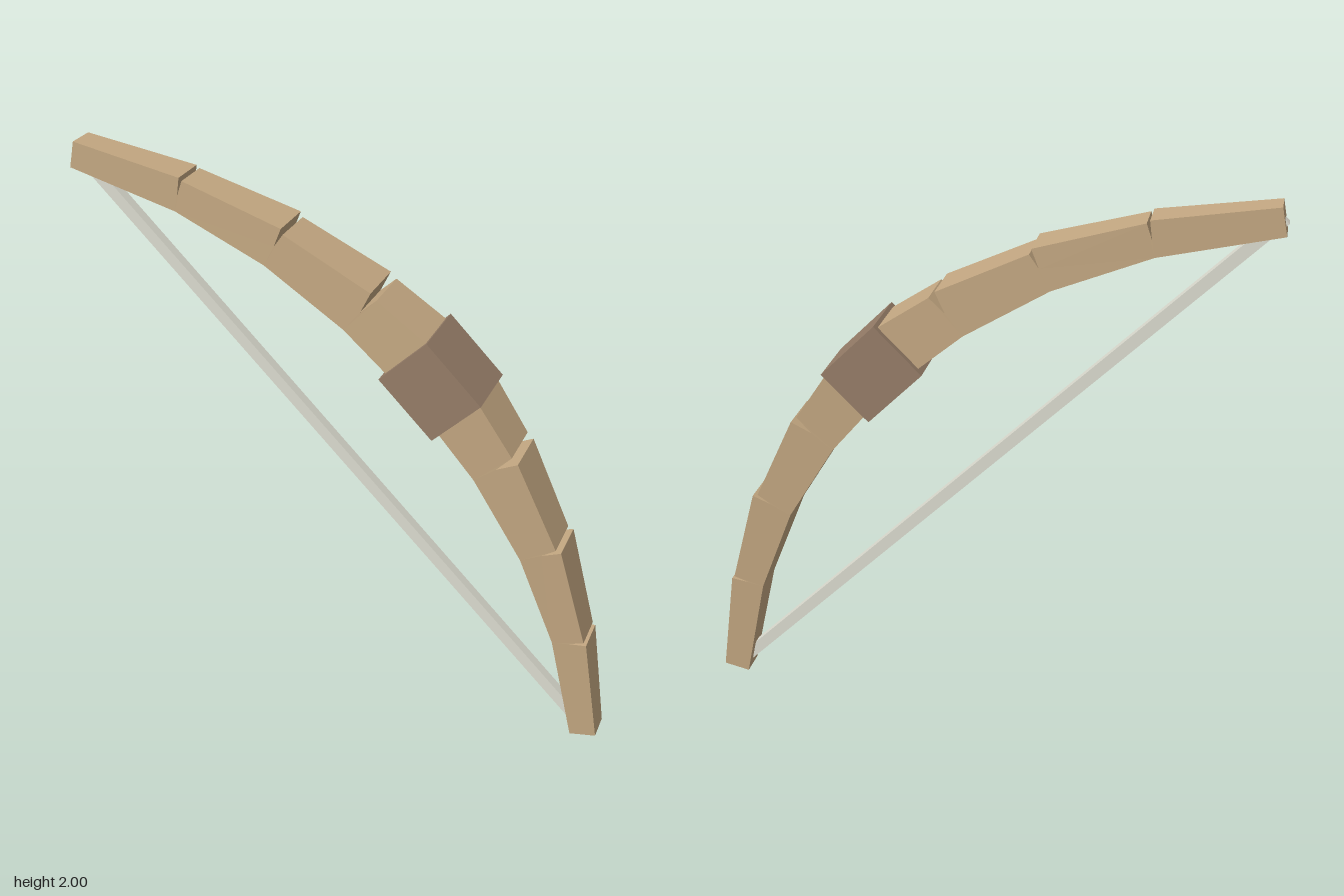
import * as THREE from 'three';

// Bow-local frame: x runs along the string, y points away from it.
// Joints from tip to grip: outer edge before and after the cut, cut bottom, inner edge, half depth.
const JOINTS = [
  { before: [-1.396, 0.040], after: [-1.396, 0.040], cut: [-1.37, 0.0], inner: [-1.344, -0.041], half: 0.05 },
  { before: [-1.064, 0.281], after: [-1.050, 0.281], cut: [-1.025, 0.228], inner: [-0.993, 0.180], half: 0.065 },
  { before: [-0.718, 0.465], after: [-0.700, 0.456], cut: [-0.690, 0.399], inner: [-0.665, 0.320], half: 0.081 },
  { before: [-0.373, 0.572], after: [-0.343, 0.571], cut: [-0.346, 0.494], inner: [-0.335, 0.399], half: 0.092 },
  { before: [-0.100, 0.619], after: [-0.100, 0.619], cut: [-0.100, 0.52], inner: [-0.100, 0.420], half: 0.1 },
];

function part(name, geometry, material) {
  const mesh = new THREE.Mesh(geometry, material);
  mesh.name = name;
  return mesh;
}

// One straight limb piece, deeper towards the grip
function segmentGeometry(a, b) {
  const outline = [a.inner, b.inner, b.cut, b.before, a.after, a.cut];
  const shape = new THREE.Shape(outline.map(([x, y]) => new THREE.Vector2(x, y)));
  const geometry = new THREE.ExtrudeGeometry(shape, { depth: 2, bevelEnabled: false });
  geometry.translate(0, 0, -1);
  const p = geometry.attributes.position;
  const middle = (a.inner[0] + b.inner[0]) / 2;
  for (let i = 0; i < p.count; i++) {
    p.setZ(i, p.getZ(i) * (p.getX(i) < middle ? a.half : b.half));
  }
  geometry.computeVertexNormals();
  return geometry;
}

export function createModel() {
  const wood = new THREE.MeshStandardMaterial({ color: 0xc4a882, flatShading: true });
  const wrap = new THREE.MeshStandardMaterial({ color: 0x967d68, flatShading: true });
  const cord = new THREE.MeshStandardMaterial({ color: 0xdcdcd0, flatShading: true });

  const bow = new THREE.Group();
  bow.name = 'bow';

  // Two matching limbs, the second turned half round
  ['upperLimb', 'lowerLimb'].forEach((name, side) => {
    const limb = new THREE.Group();
    limb.name = name;
    for (let i = 0; i < JOINTS.length - 1; i++) {
      limb.add(part('limbSegment' + (i + 1), segmentGeometry(JOINTS[i], JOINTS[i + 1]), wood));
    }
    limb.rotation.y = side * Math.PI;
    bow.add(limb);
  });

  // Grip block around the middle
  const grip = part('grip', new THREE.BoxGeometry(0.272, 0.232, 0.24), wrap);
  grip.position.y = 0.51;
  bow.add(grip);

  // String running through both tips
  bow.add(part('string', new THREE.BoxGeometry(2.74, 0.042, 0.036), cord));

  // Lean the bow on the diagonal
  bow.rotation.z = -Math.PI / 4;
  bow.position.set(-0.021, 0.984, 0);

  const model = new THREE.Group();
  model.name = 'model';
  model.add(bow);
  return model;
}
